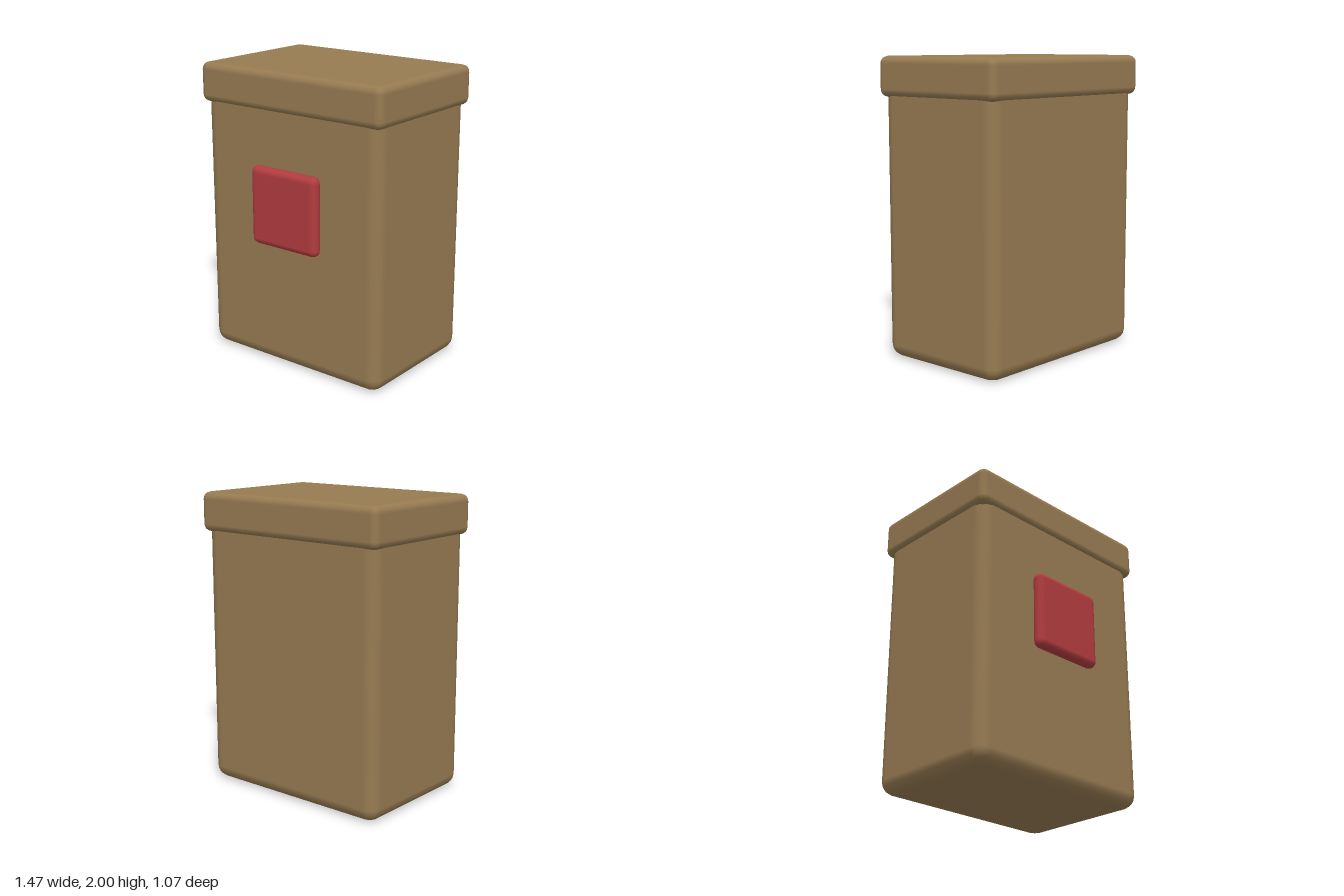
import * as THREE from 'three';
import { RoundedBoxGeometry } from 'three/addons/geometries/RoundedBoxGeometry.js';

// Rounded block given by its min and max corners
function block(name, min, max, radius, material) {
  const size = max.map((v, i) => v - min[i]);
  const mesh = new THREE.Mesh(new RoundedBoxGeometry(...size, 2, radius), material);
  mesh.position.set(...max.map((v, i) => (v + min[i]) / 2));
  mesh.name = name;
  return mesh;
}

export function createModel() {
  const group = new THREE.Group();
  group.name = 'lidded box';
  const brown = new THREE.MeshStandardMaterial({ color: 0x977b52 });
  const red = new THREE.MeshStandardMaterial({ color: 0xb23c3f });

  // Tall container, its top tucked inside the lid
  group.add(block('body', [-0.71, 0, -0.51], [0.71, 1.92, 0.465], 0.09, brown));
  // Slightly overhanging lid
  group.add(block('lid', [-0.733, 1.735, -0.533], [0.733, 2, 0.487], 0.05, brown));
  // Square plate sunk part way into the front
  group.add(block('frontPlate', [-0.268, 0.85, 0.445], [0.268, 1.38, 0.533], 0.044, red));
  return group;
}
